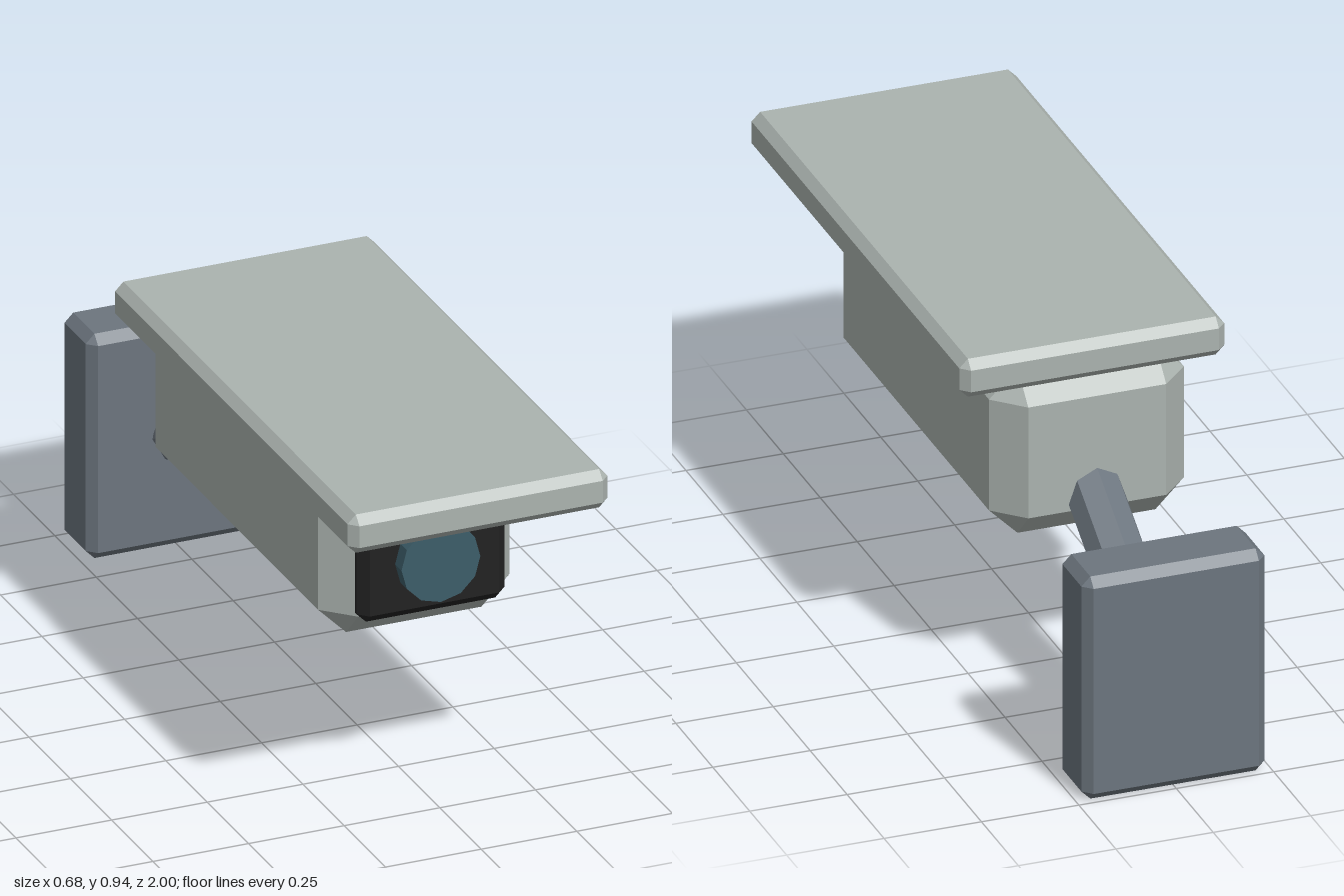
import * as THREE from 'three';
import { ConvexGeometry } from 'three/addons/geometries/ConvexGeometry.js';

const material = (name, color) => {
  const m = new THREE.MeshStandardMaterial({ color });
  m.name = name;
  return m;
};

// Box with flat 45-degree chamfers on every edge, given by its min and max corners
function chamferedBox(min, max, c) {
  const half = max.map((v, i) => (v - min[i]) / 2);
  const points = [];
  for (const sx of [-1, 1]) for (const sy of [-1, 1]) for (const sz of [-1, 1]) {
    const signs = [sx, sy, sz];
    // each corner becomes three points, one on each adjoining face
    for (let face = 0; face < 3; face++) {
      points.push(new THREE.Vector3(...signs.map((s, i) => s * (half[i] - (i === face ? 0 : c)))));
    }
  }
  const g = new ConvexGeometry(points);
  g.translate(...max.map((v, i) => (v + min[i]) / 2));
  return g;
}

// Faceted rod between two points
function rod(from, to, radius, sides) {
  const a = new THREE.Vector3(...from), b = new THREE.Vector3(...to);
  const dir = b.clone().sub(a);
  const g = new THREE.CylinderGeometry(radius, radius, dir.length(), sides).toNonIndexed();
  g.applyQuaternion(new THREE.Quaternion().setFromUnitVectors(new THREE.Vector3(0, 1, 0), dir.normalize()));
  g.translate(...a.add(b).multiplyScalar(0.5).toArray());
  g.computeVertexNormals();
  return g;
}

export function createModel() {
  const shell = material('light grey shell', 0xabb3af);
  const bracket = material('slate bracket', 0x6c757e);
  const black = material('black bezel', 0x222222);
  const glass = material('blue glass', 0x3c5d69);

  const model = new THREE.Group();
  model.name = 'securityCamera';
  const add = (name, geometry, mat) => {
    const mesh = new THREE.Mesh(geometry, mat);
    mesh.name = name;
    model.add(mesh);
  };

  // Housing and sun shield
  add('housing', chamferedBox([-0.25, 0.432, -0.465], [0.25, 0.876, 0.665], 0.073), shell);
  add('sunShield', chamferedBox([-0.34, 0.84, -0.45], [0.34, 0.942, 1], 0.022), shell);

  // Lens assembly
  add('lensBezel', chamferedBox([-0.193, 0.503, 0.66], [0.193, 0.803, 0.718], 0.024), black);
  add('lens', rod([0, 0.654, 0.68], [0, 0.654, 0.757], 0.103, 12), glass);

  // Wall mount
  add('mountArm', rod([0, 0.595, -0.35], [0, 0.302, -0.819], 0.073, 8), bracket);
  add('wallPlate', chamferedBox([-0.235, 0, -1], [0.235, 0.597, -0.826], 0.023), bracket);

  return model;
}
